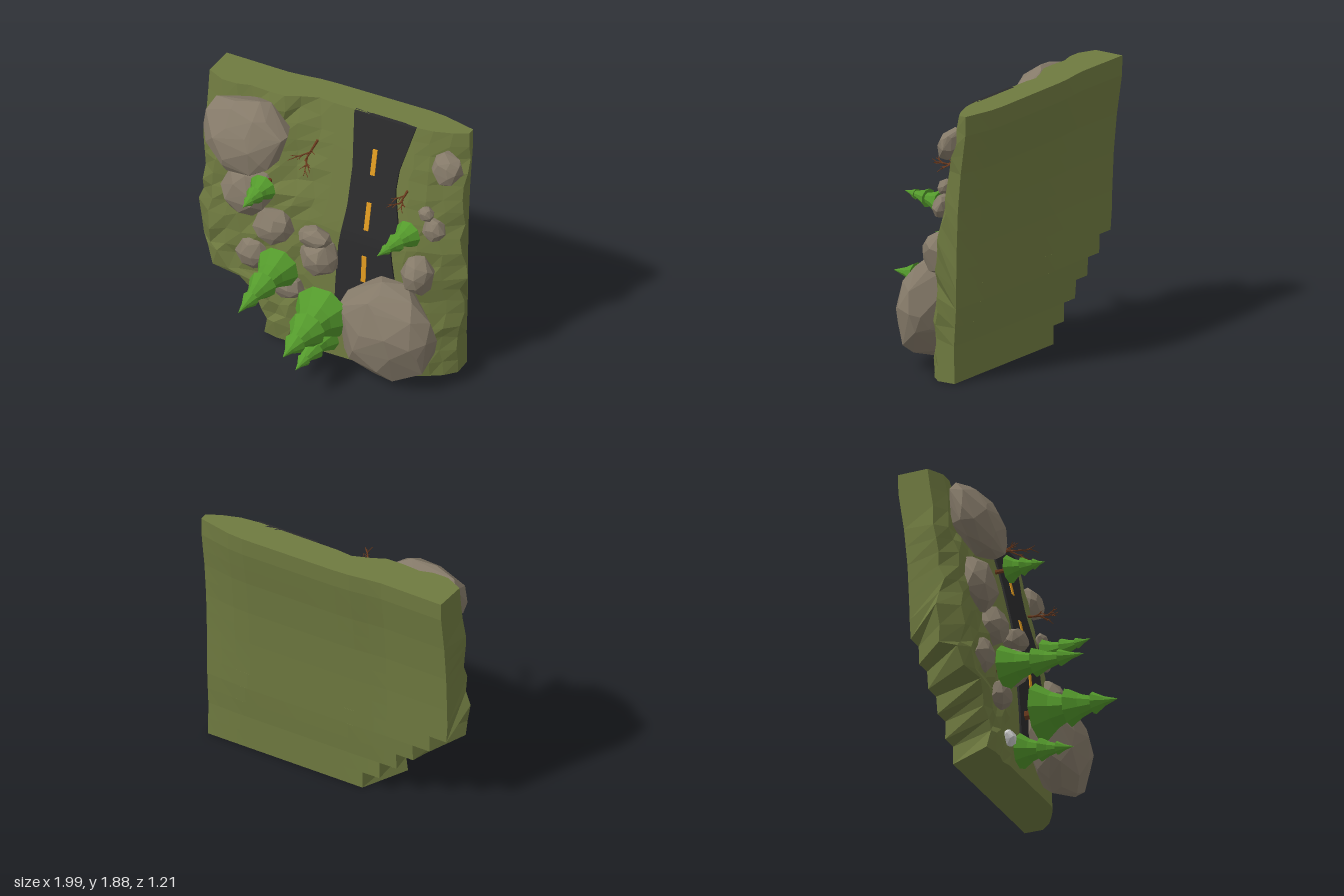
import * as THREE from 'three';
import { ConvexGeometry } from 'three/addons/geometries/ConvexGeometry.js';

const mat = color => new THREE.MeshStandardMaterial({ color, flatShading: true });
const GRASS = mat(0x6f7a40), ROAD = mat(0x2b2b2c), DASH = mat(0xe09a20), ROCK = mat(0x857a69),
  PALE = mat(0xcccccc), LEAF = mat(0x549a2c), BARK = mat(0x6b3a1e);

function seeded(seed) {
  let s = seed * 7919 + 13;
  return () => (s = (s * 16807) % 2147483647) / 2147483647;
}

// Piecewise linear lookup through [t, value] points
function lookup(points, t) {
  for (let i = 1; i < points.length; i++) {
    const [t0, v0] = points[i - 1], [t1, v1] = points[i];
    if (t <= t1) return v0 + (v1 - v0) * Math.max(0, (t - t0) / (t1 - t0));
  }
  return points[points.length - 1][1];
}
const { smoothstep: smooth, lerp } = THREE.MathUtils;

// Left outlines as [y, x], one entry per row; the back one is a regular staircase
const LEFT_FRONT = [[0, -0.44], [0.13, -0.41], [0.2, -0.45], [0.28, -0.5], [0.35, -0.54], [0.43, -0.61], [0.44, -0.83],
  [0.57, -0.88], [0.58, -0.96], [0.7, -0.97], [0.85, -1], [0.95, -0.96], [1.05, -0.95], [1.15, -0.95], [1.25, -0.955],
  [1.35, -0.97], [1.45, -0.98], [1.6, -0.96], [1.74, -0.96], [1.88, -0.96]];
const LEFT_BACK = [[0, -0.27]];
for (let k = 0; k < 5; k++) LEFT_BACK.push([0.13 * (k + 1), -0.27 - 0.133 * k], [0.13 * (k + 1), -0.403 - 0.133 * k]);
for (let k = 1; k <= 9; k++) LEFT_BACK.push([0.65 + 1.23 * k / 9, -0.945]);

// Right outline and depth profiles
const RIGHT = [[0, 0.93], [0.3, 0.93], [0.55, 0.98], [0.7, 0.94], [0.8, 1], [1.1, 0.93], [1.2, 0.95], [1.45, 0.92], [1.6, 0.95], [1.88, 0.93]];
const FRONT = [[0, -0.12], [0.5, -0.14], [1, -0.18], [1.3, -0.25], [1.6, -0.32], [1.88, -0.39]];
const BACK = [[0, -0.46], [0.3, -0.465], [0.45, -0.485], [0.9, -0.505], [1.2, -0.525], [1.5, -0.56], [1.72, -0.602], [1.88, -0.61]];
const BACK_SHIFT = [[-0.95, 0.04], [-0.45, 0.045], [-0.2, 0.01], [0.65, 0], [0.93, 0.06]];
const RIGHT_DROP = [[0.6, 0], [0.72, 0.18], [0.84, 0.5], [0.95, 1]];

// Hill surface: raised on the left, falling away at both sides
const groundZ = (x, y) => lookup(FRONT, y) + 0.09 * (y / 1.88) * (1 - smooth(x, -0.5, -0.12))
  - (0.22 - 0.05 * y) * lookup(RIGHT_DROP, x) - (0.19 - 0.065 * y) * (1 - smooth(x, -1, -0.82));

// Closed solid between two equal grids of points
function shell(front, back) {
  const pos = [], rows = front.length - 1, cols = front[0].length - 1;
  const quad = (a, b, c, d) => pos.push(...a, ...b, ...c, ...a, ...c, ...d);
  for (let i = 0; i < rows; i++) for (let j = 0; j < cols; j++) {
    quad(front[i][j], front[i][j + 1], front[i + 1][j + 1], front[i + 1][j]);
    quad(back[i][j], back[i + 1][j], back[i + 1][j + 1], back[i][j + 1]);
  }
  const rim = [];
  for (let j = 0; j < cols; j++) rim.push([0, j]);
  for (let i = 0; i < rows; i++) rim.push([i, cols]);
  for (let j = cols; j > 0; j--) rim.push([rows, j]);
  for (let i = rows; i > 0; i--) rim.push([i, 0]);
  rim.forEach(([i, j], k) => {
    const [m, n] = rim[(k + 1) % rim.length];
    quad(front[i][j], back[i][j], back[m][n], front[m][n]);
  });
  const geo = new THREE.BufferGeometry();
  geo.setAttribute('position', new THREE.Float32BufferAttribute(pos, 3));
  geo.computeVertexNormals();
  return geo;
}

function add(parent, name, geo, material) {
  const mesh = new THREE.Mesh(geo, material);
  mesh.name = name;
  parent.add(mesh);
  return mesh;
}

function hillside() {
  const cols = 16, last = LEFT_FRONT.length - 1, rnd = seeded(5), front = [], back = [];
  LEFT_FRONT.forEach(([edgeY, edgeX], i) => {
    const evenY = 1.88 * i / last, [by, bl] = LEFT_BACK[i], f = [], b = [];
    for (let j = 0; j <= cols; j++) {
      const t = j / cols, jitter = j > 0 && j < cols ? 1 : 0, jitterY = i > 0 && i < last ? jitter : 0;
      const y = lerp(edgeY, evenY, Math.min(1, t / 0.4)) + jitterY * 0.035 * (rnd() - 0.5);
      const x = lerp(edgeX, lookup(RIGHT, y), t) + jitter * 0.05 * (rnd() - 0.5);
      const rough = 1 - smooth(x, -0.2, -0.05) * (1 - smooth(x, 0.66, 0.78));
      f.push([x, y, groundZ(x, y) + rough * 0.04 * (rnd() - 0.5)]);
      const bx = lerp(bl, 0.93, t);
      b.push([bx, by, lookup(BACK, by) + lookup(BACK_SHIFT, bx) * by / 1.88]);
    }
    front.push(f);
    back.push(b);
  });
  return shell(front, back);
}

// Strip lying on the slope between two edge curves
function strip(left, right, y0, y1, lift, steps) {
  const front = [], back = [];
  for (let i = 0; i <= steps; i++) {
    const y = y0 + (y1 - y0) * i / steps, z = lookup(FRONT, y) + lift;
    const xs = [lookup(left, y), lookup(right, y)];
    front.push(xs.map(x => [x, y, z]));
    back.push(xs.map(x => [x, y, z - 0.03]));
  }
  return shell(front, back);
}

// Faceted boulder: hull of jittered points on an ellipsoid, widened upwards by taper
function boulder(seed, rx, ry, rz, count, taper = 0) {
  const rnd = seeded(seed), pts = [];
  for (let i = 0; i < count; i++) {
    const h = 1 - 2 * (i + 0.5) / count, a = i * 2.39996 + rnd() * 0.8, s = Math.sqrt(1 - h * h), k = 0.94 + rnd() * 0.13;
    const v = Math.sin(a) * s;
    pts.push(new THREE.Vector3(Math.cos(a) * s * rx * k * (1 + taper * v), v * ry * k, h * rz * k));
  }
  return new ConvexGeometry(pts);
}

// Three-tier conifer growing along +z from the slope, leaning by lx, ly at the tip
function conifer(x, y, base, tip, r, lx, ly) {
  const tree = new THREE.Group(), dir = new THREE.Vector3(lx, ly, tip - base), h = dir.length();
  tree.name = 'conifer';
  const tiers = [[0, 0.42, 1, 0.34], [0.38, 0.72, 0.66, 0.22], [0.69, 1, 0.38, 0]];
  tiers.forEach(([a, b, wide, narrow], i) => {
    const profile = [[0, a + 0.03], [wide, a], [lerp(wide, narrow, 0.58), lerp(a, b, 0.45)], [narrow, b]];
    const tier = new THREE.LatheGeometry(profile.map(([p, q]) => new THREE.Vector2(p * r, q * h)), 9);
    add(tree, 'foliageTier', tier, LEAF).rotation.y = i * 0.35;
  });
  const root = 0.14;
  add(tree, 'trunk', new THREE.CylinderGeometry(r * 0.13, r * 0.17, root, 6), BARK).position.y = 0.04 - root / 2;
  tree.position.set(x, y, base);
  tree.quaternion.setFromUnitVectors(new THREE.Vector3(0, 1, 0), dir.normalize());
  return tree;
}

// Bare shrub of forking twigs
function shrub(x, y, z, length, seed) {
  const group = new THREE.Group(), rnd = seeded(seed);
  group.name = 'bareShrub';
  const grow = (from, dir, len, rad, depth) => {
    const twig = add(group, 'twig', new THREE.CylinderGeometry(rad * 0.5, rad, len, 5), BARK);
    twig.position.copy(from).addScaledVector(dir, len / 2);
    twig.quaternion.setFromUnitVectors(new THREE.Vector3(0, 1, 0), dir);
    if (!depth) return;
    const turn = rnd() * 6.28;
    for (let k = 0; k < 4; k++) {
      const a = turn + k * 1.9;
      const d = dir.clone().add(new THREE.Vector3(Math.cos(a) * 0.75, Math.sin(a) * 0.5, 0)).normalize();
      grow(from.clone().addScaledVector(dir, len * (0.4 + 0.19 * k)), d, len * 0.5, rad * 0.6, depth - 1);
    }
  };
  grow(new THREE.Vector3(x, y, z), new THREE.Vector3(0.1, -0.05, 1).normalize(), length * 0.55, 0.01, 2);
  return group;
}

export function createModel() {
  const model = new THREE.Group();
  model.name = 'mountainRoad';
  add(model, 'hillside', hillside(), GRASS);

  // Road and centre line
  const roadLeft = [[0.3, 0.1], [0.6, 0.1], [0.9, 0.11], [1.2, 0.15], [1.5, 0.155], [1.88, 0.12]];
  const roadRight = [[0.3, 0.55], [0.7, 0.545], [0.95, 0.5], [1.1, 0.55], [1.4, 0.49], [1.55, 0.5], [1.88, 0.585]];
  add(model, 'road', strip(roadLeft, roadRight, 0.3, 1.88, 0.014, 24), ROAD);
  for (const [y0, y1] of [[0.67, 0.87], [1.07, 1.27], [1.47, 1.655]])
    add(model, 'laneDash', strip([[0, 0.293], [2, 0.293]], [[0, 0.327], [2, 0.327]], y0, y1, 0.021, 4), DASH);

  // Boulders: x, y, z, radii, backward lean, taper
  [
    [-0.585, 1.6, -0.14, 0.31, 0.285, 0.15, 0.4, 0.14], [-0.57, 1.15, -0.15, 0.195, 0.2, 0.13, 0.2],
    [-0.37, 0.92, -0.14, 0.145, 0.14, 0.12, 0.1], [-0.04, 0.95, -0.1, 0.125, 0.08, 0.085, 0],
    [-0.02, 0.77, -0.14, 0.14, 0.15, 0.125, 0.1], [-0.53, 0.64, -0.16, 0.125, 0.14, 0.115, 0],
    [-0.25, 0.46, -0.14, 0.125, 0.105, 0.1, 0], [0.54, 0.41, -0.05, 0.365, 0.375, 0.2, 0.1],
    [0.7, 0.83, -0.19, 0.115, 0.15, 0.13, 0.1], [0.83, 1.64, -0.36, 0.115, 0.125, 0.075, 0.32],
    [0.78, 1.18, -0.26, 0.085, 0.09, 0.06, 0.2], [0.73, 1.3, -0.25, 0.058, 0.058, 0.045, 0.2],
  ].forEach(([x, y, z, rx, ry, rz, lean, taper], i) => {
    const rock = add(model, 'boulder', boulder(i + 1, rx, ry, rz, rx > 0.25 ? 48 : 30, taper), ROCK);
    rock.position.set(x, y, z);
    rock.rotation.x = -lean;
  });
  add(model, 'paleStone', boulder(30, 0.06, 0.06, 0.05, 20), PALE).position.set(-0.1, 0.2, -0.12);

  // Trees and dry shrubs
  [[0.08, 0.44, 0.02, 0.6, 0.205, 0, 0], [-0.3, 0.63, -0.07, 0.52, 0.155, 0, 0], [0.03, 0.155, -0.09, 0.3, 0.125, -0.01, -0.04],
    [-0.38, 1.315, 0, 0.27, 0.1, -0.015, 0], [0.635, 1.155, -0.17, 0.18, 0.1, -0.06, 0.02]]
    .forEach(t => model.add(conifer(...t)));
  model.add(shrub(-0.12, 1.6, -0.3, 0.42, 3), shrub(0.57, 1.42, -0.29, 0.28, 8));
  return model;
}
